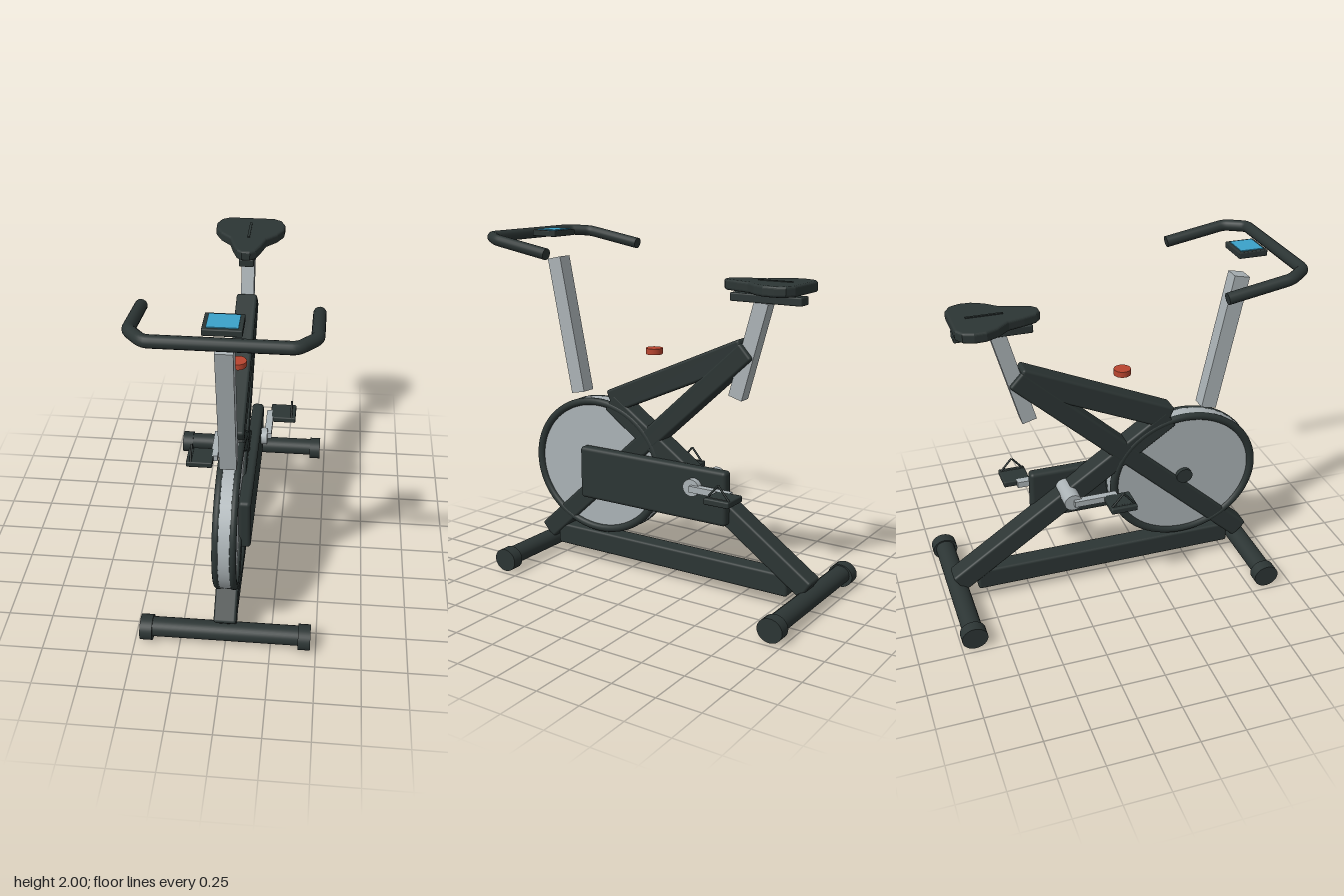
import * as THREE from 'three';
import { RoundedBoxGeometry } from 'three/addons/geometries/RoundedBoxGeometry.js';

const V = (x, y, z) => new THREE.Vector3(x, y, z);

export function createModel() {
  const bike = new THREE.Group();
  bike.name = 'exerciseBike';

  const material = (name, color) => {
    const m = new THREE.MeshStandardMaterial({ color });
    m.name = name;
    return m;
  };
  const dark = material('charcoal', 0x2c3534);
  const silver = material('silver', 0xabb3b6);
  const red = material('red', 0xb9452f);
  const blue = material('screenBlue', 0x3ba2ca);

  const add = (name, geometry, mat, x = 0, y = 0, z = 0) => {
    const mesh = new THREE.Mesh(geometry, mat);
    mesh.name = name;
    mesh.position.set(x, y, z);
    bike.add(mesh);
    return mesh;
  };
  const box = (w, h, d, r = 0) =>
    r ? new RoundedBoxGeometry(w, h, d, 3, r) : new THREE.BoxGeometry(w, h, d);
  // Bar of rectangular section between two points [y, z] in the middle plane
  const beam = (name, mat, [y1, z1], [y2, z2], w, h, r = 0) => {
    const mesh = add(name, box(w, h, Math.hypot(y2 - y1, z2 - z1), r), mat, 0, (y1 + y2) / 2, (z1 + z2) / 2);
    mesh.lookAt(0, y2, z2);
    return mesh;
  };
  // Cylinder lying along x, slightly stretched along z
  const axle = (name, mat, radius, length, x, y, z, stretch = 1.1) => {
    const g = new THREE.CylinderGeometry(radius, radius, length, 40).rotateZ(Math.PI / 2);
    g.scale(1, 1, stretch);
    return add(name, g, mat, x, y, z);
  };

  // Floor stabilisers with end caps
  for (const [name, z] of [['front', 0.85], ['rear', -0.925]]) {
    axle(name + 'Stabiliser', dark, 0.052, 0.86, 0, 0.075, z);
    for (const s of [-1, 1]) axle(name + 'FootCap', dark, 0.067, 0.068, s * 0.435, 0.067, z);
  }

  // Frame
  add('baseRail', box(0.11, 0.128, 1.58, 0.015), dark, 0, 0.133, -0.02);
  beam('mainBeam', dark, [0.135, 0.855], [1.41, -0.53], 0.124, 0.115, 0.015);
  beam('topBeam', dark, [1.02, 0.364], [1.407, -0.513], 0.12, 0.137, 0.015);
  beam('rearBeam', dark, [1.02, 0.37], [0.13, -0.925], 0.122, 0.12, 0.015);

  // Flywheel
  const wheelY = 0.615, wheelZ = 0.463;
  axle('flywheel', silver, 0.408, 0.09, 0, wheelY, wheelZ, 1.115);
  axle('flywheelHub', dark, 0.045, 0.14, 0, wheelY, wheelZ);
  for (const s of [-1, 1]) {
    const ring = new THREE.TorusGeometry(0.39, 0.022, 14, 72).rotateY(Math.PI / 2);
    add('flywheelRing', ring, dark, s * 0.043, wheelY, wheelZ).scale.z = 1.115;
  }

  // Chain guard on the left side
  add('chainGuard', box(0.07, 0.315, 1.0, 0.022), dark, 0.077, 0.577, 0.05);

  // Cranks and pedals with toe clips
  const crankY = 0.625, crankZ = -0.25;
  axle('crankAxle', silver, 0.049, 0.296, 0, crankY, crankZ, 1.06);
  for (const s of [-1, 1]) {
    const pedalZ = crankZ - s * 0.255;
    add('crankArm', box(0.042, 0.036, 0.255), silver, s * 0.15, crankY, crankZ - s * 0.13);
    add('pedal', box(0.155, 0.036, 0.155, 0.008), dark, s * 0.231, crankY, pedalZ);
    const corners = [V(0, 0, -0.068), V(0, 0.08, 0), V(0, 0, 0.068)];
    corners.forEach((a, i) => {
      const wire = new THREE.TubeGeometry(new THREE.LineCurve3(a, corners[(i + 1) % 3]), 1, 0.006, 8);
      add('toeClip', wire, dark, s * 0.282, crankY + 0.015, pedalZ);
    });
  }

  // Seat post, bracket and saddle
  beam('seatPost', silver, [1.14, -0.46], [1.675, -0.61], 0.075, 0.085);
  add('seatBracket', box(0.085, 0.046, 0.425, 0.008), dark, 0, 1.692, -0.633);

  const half = [[0.14, 0.845], [0.18, 0.82], [0.2, 0.77], [0.197, 0.71], [0.165, 0.645],
    [0.105, 0.565], [0.08, 0.475], [0.055, 0.405], [0.03, 0.385]];
  const outline = [...half, ...half.map(([x, z]) => [-x, z]).reverse()];
  const bevel = 0.014;
  const saddleShape = new THREE.Shape(outline.map(([x, z]) => {
    // draw the outline in by the bevel, which grows it back
    const cz = 0.615;
    return new THREE.Vector2(x - Math.sign(x) * bevel * 0.85, z - Math.sign(z - cz) * bevel * 0.5);
  }));
  const saddle = new THREE.ExtrudeGeometry(saddleShape, {
    depth: 0.03, bevelEnabled: true, bevelSize: bevel, bevelThickness: bevel, bevelSegments: 4,
  });
  saddle.rotateX(-Math.PI / 2);
  add('saddle', saddle, dark, 0, 1.741, 0);
  add('saddleRidge', box(0.014, 0.012, 0.2), dark, 0, 1.784, -0.67);

  // Handlebar post and bent handlebar
  beam('handlebarPost', silver, [1.045, 0.605], [1.835, 0.765], 0.09, 0.092);
  const side = [V(0.435, 1.898, 0.5), V(0.435, 1.96, 0.855), V(0.35, 1.968, 0.962)];
  const points = [...side, ...side.map((p) => V(-p.x, p.y, p.z)).reverse()];
  const path = new THREE.CurvePath();
  let from = points[0];
  for (let i = 1; i < points.length - 1; i++) {
    const p = points[i];
    const a = p.clone().add(points[i - 1].clone().sub(p).setLength(0.03));
    const b = p.clone().add(points[i + 1].clone().sub(p).setLength(0.03));
    path.add(new THREE.LineCurve3(from, a));
    path.add(new THREE.QuadraticBezierCurve3(a, p, b));
    from = b;
  }
  path.add(new THREE.LineCurve3(from, points[points.length - 1]));
  add('handlebar', new THREE.TubeGeometry(path, 120, 0.032, 16), dark);
  for (const s of [-1, 1]) {
    const cap = add('handlebarEnd', new THREE.CircleGeometry(0.032, 16), dark, s * 0.435, 1.898, 0.5);
    cap.lookAt(s * 0.435, 1.836, 0.145);
  }

  // Console with screen
  add('console', box(0.19, 0.035, 0.165, 0.006), dark, 0, 1.977, 0.797);
  add('screen', box(0.15, 0.006, 0.13), blue, 0, 1.996, 0.797);

  // Resistance knob
  add('resistanceKnob', new THREE.CylinderGeometry(0.048, 0.048, 0.034, 32), red, 0, 1.342, 0.088);

  return bike;
}
